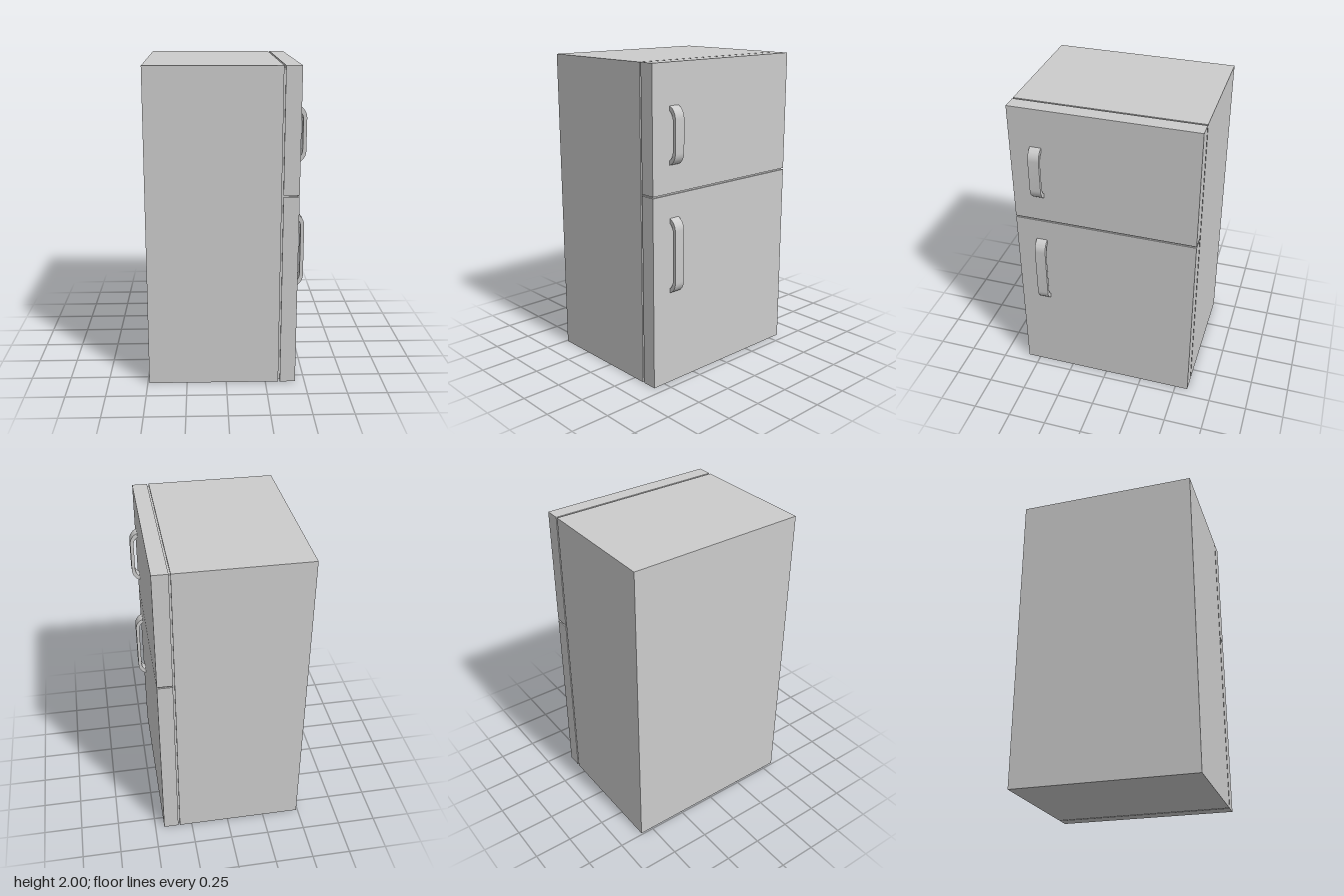
import * as THREE from 'three';
import { toCreasedNormals } from 'three/addons/utils/BufferGeometryUtils.js';

const material = new THREE.MeshStandardMaterial({ color: 0xcccccc });
const HALF_WIDTH = 0.585;
const DOOR_FRONT = 0.44;

// Box given by its x and y ranges, centred on z
function slab(name, x0, x1, y0, y1, halfWidth = HALF_WIDTH) {
  const mesh = new THREE.Mesh(new THREE.BoxGeometry(x1 - x0, y1 - y0, halfWidth * 2), material);
  mesh.position.set((x0 + x1) / 2, (y0 + y1) / 2, 0);
  mesh.name = name;
  return mesh;
}

// Bow handle: flat strap whose ends curve back into the door
function handle(name, y0, y1) {
  const reach = 0.05, bend = 0.075, thick = 0.022, end = 0.03;
  const s = new THREE.Shape();
  s.moveTo(0, y0);
  s.bezierCurveTo(reach * 0.5, y0 + 0.008, reach, y0 + bend * 0.5, reach, y0 + bend);
  s.lineTo(reach, y1 - bend);
  s.bezierCurveTo(reach, y1 - bend * 0.5, reach * 0.5, y1 - 0.008, 0, y1);
  s.lineTo(0, y1 - end);
  const inner = reach - thick;
  s.bezierCurveTo(inner * 0.5, y1 - end - 0.006, inner, y1 - bend * 0.75, inner, y1 - bend - 0.012);
  s.lineTo(inner, y0 + bend + 0.012);
  s.bezierCurveTo(inner, y0 + bend * 0.75, inner * 0.5, y0 + end + 0.006, 0, y0 + end);
  s.closePath();
  const geometry = new THREE.ExtrudeGeometry(s, { depth: 0.07, bevelEnabled: false, curveSegments: 10 });
  const mesh = new THREE.Mesh(toCreasedNormals(geometry, 0.6), material);
  mesh.position.set(DOOR_FRONT, 0, 0.383);
  mesh.name = name;
  return mesh;
}

export function createModel() {
  const group = new THREE.Group();
  group.name = 'refrigerator';

  // Cabinet and the two doors
  group.add(slab('cabinet', -0.49, 0.332, 0, 2));
  group.add(slab('fridgeDoor', 0.343, DOOR_FRONT, 0, 1.219));
  group.add(slab('freezerDoor', 0.343, DOOR_FRONT, 1.229, 2));

  // Seals set back inside the gaps
  group.add(slab('doorSeal', 0.332, 0.343, 0.01, 1.99, HALF_WIDTH - 0.01));
  group.add(slab('dividerSeal', 0.343, DOOR_FRONT - 0.01, 1.219, 1.229, HALF_WIDTH - 0.01));

  // Handles near the left edge of the doors
  group.add(handle('fridgeHandle', 0.6, 1.075));
  group.add(handle('freezerHandle', 1.4, 1.75));
  return group;
}
